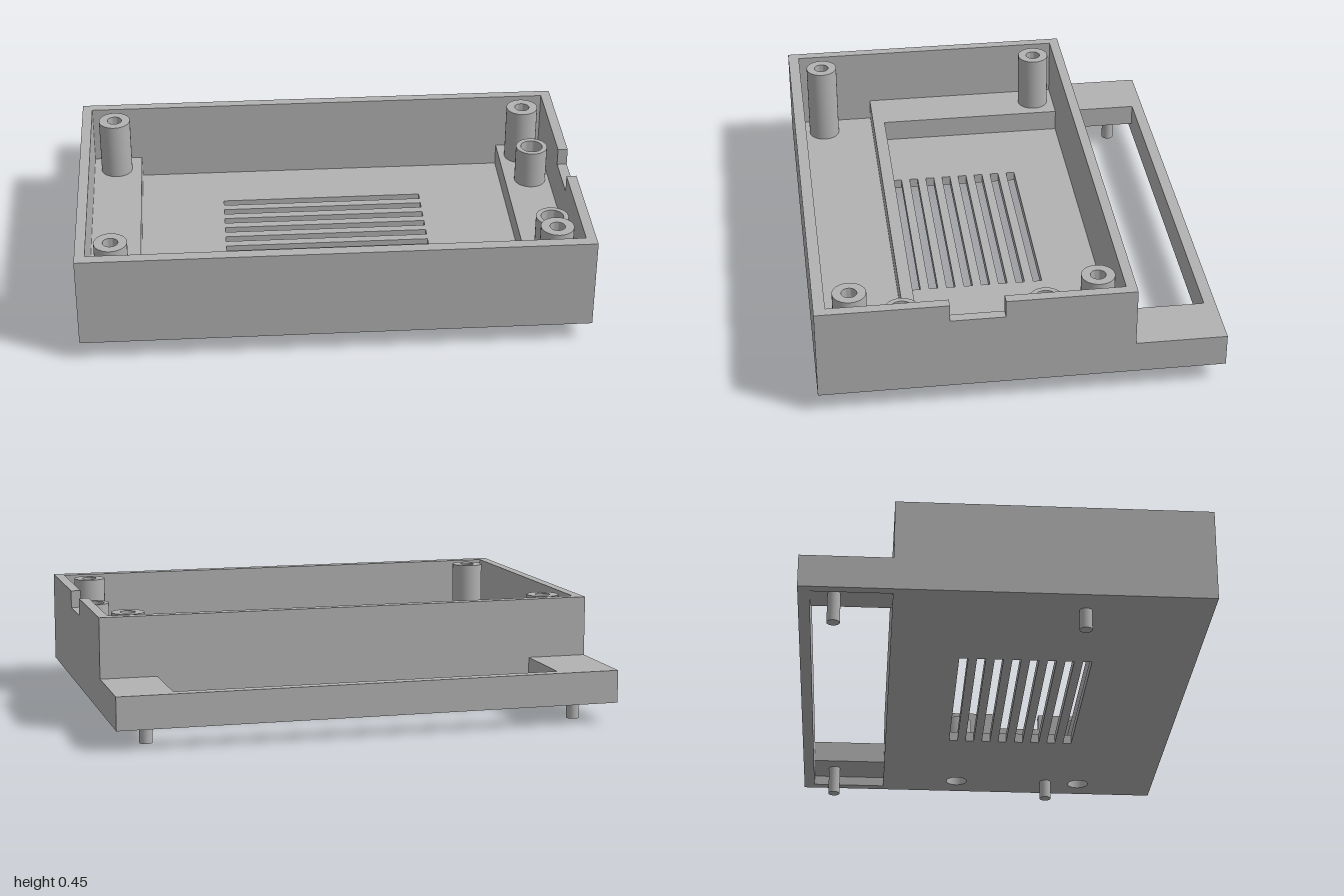
import * as THREE from 'three';
import { toCreasedNormals } from 'three/addons/utils/BufferGeometryUtils.js';

const grey = new THREE.MeshStandardMaterial({ color: 0xb2b2b2 });
grey.name = 'grey plastic';

// Heights of the layers
const BASE = 0.08, FLOOR = 0.12, DECK = 0.21, NOTCH = 0.38, RIM = 0.45;

// Rectangle and circle outlines in plan (shape y is -z)
const polygon = (pts) => pts.map(([x, z]) => new THREE.Vector2(x, -z));
const rect = (x0, x1, z0, z1) => polygon([[x0, z1], [x1, z1], [x1, z0], [x0, z0]]);
const circle = (x, z, r) => new THREE.Path().absarc(x, -z, r, 0, Math.PI * 2).getPoints(32).slice(0, -1);

export function createModel() {
  const group = new THREE.Group();
  const add = (name, geometry) => {
    const mesh = new THREE.Mesh(geometry, grey);
    mesh.name = name;
    group.add(mesh);
    return mesh;
  };

  // Horizontal layer from y0 to y1 with cut-outs
  const layer = (name, outline, holes, y0, y1) => {
    const shape = new THREE.Shape(outline);
    shape.holes = holes.map((h) => new THREE.Path(h));
    const geo = new THREE.ExtrudeGeometry(shape, { depth: y1 - y0, bevelEnabled: false });
    geo.rotateX(-Math.PI / 2).translate(0, y0, 0);
    add(name, geo);
  };

  // Hollow upright post
  const post = (name, x, z, outer, inner, y0, y1) => {
    const profile = [[outer, y0], [outer, y1], [inner, y1], [inner, y0]]
      .map(([r, y]) => new THREE.Vector2(r, y));
    const geo = toCreasedNormals(new THREE.LatheGeometry(profile, 32), 0.6);
    add(name, geo).position.set(x, 0, z);
  };

  // Floor with vent slots, two button holes and the recess under the ledge
  const slots = [];
  for (let i = 0; i < 8; i++) {
    const z = -0.155 + i * 0.0704;
    slots.push(rect(-0.415, 0.415, z, z + 0.035));
  }
  const buttons = [[0.88, -0.1], [0.88, 0.45]];
  layer('floor', rect(-1, 1, -0.785, 0.785), [
    rect(-0.96, 0.96, -0.74, -0.43),
    ...slots,
    ...buttons.map(([x, z]) => circle(x, z, 0.045)),
  ], BASE, FLOOR);

  // Raised deck with the ledge window, sunken pocket and front bay
  layer('deck', rect(-1, 1, -0.785, 0.785), [
    rect(-0.76, 0.775, -0.74, -0.43),
    rect(-0.76, 0.775, -0.39, 0.38),
    rect(-0.96, 0.96, 0.43, 0.74),
  ], FLOOR, DECK);

  // Case walls, then the rim with a cable notch in the left side
  layer('walls', rect(-1, 1, -0.43, 0.785), [rect(-0.96, 0.96, -0.39, 0.74)], DECK, NOTCH);
  layer('notchedRim', polygon([
    [1, 0.28], [0.96, 0.28], [0.96, 0.74], [-0.96, 0.74], [-0.96, -0.39], [0.96, -0.39],
    [0.96, 0.07], [1, 0.07], [1, -0.43], [-1, -0.43], [-1, 0.785], [1, 0.785],
  ]), [], NOTCH, RIM);

  // Screw posts and feet in mirrored pairs
  for (const side of [-1, 1]) {
    post('backScrewPost', side * 0.865, -0.3, 0.065, 0.03, DECK, RIM - 0.003);
    post('frontScrewPost', side * 0.865, 0.645, 0.065, 0.03, FLOOR, RIM - 0.003);
    for (const [z, top] of [[0.3, BASE], [-0.65, FLOOR]]) {
      const foot = add('foot', new THREE.CylinderGeometry(0.025, 0.025, top, 24));
      foot.position.set(side * 0.865, top / 2, z);
    }
  }

  // Button guide tubes
  post('backButtonTube', ...buttons[0], 0.065, 0.045, DECK, 0.37);
  post('frontButtonTube', ...buttons[1], 0.065, 0.045, FLOOR, 0.37);

  return group;
}
